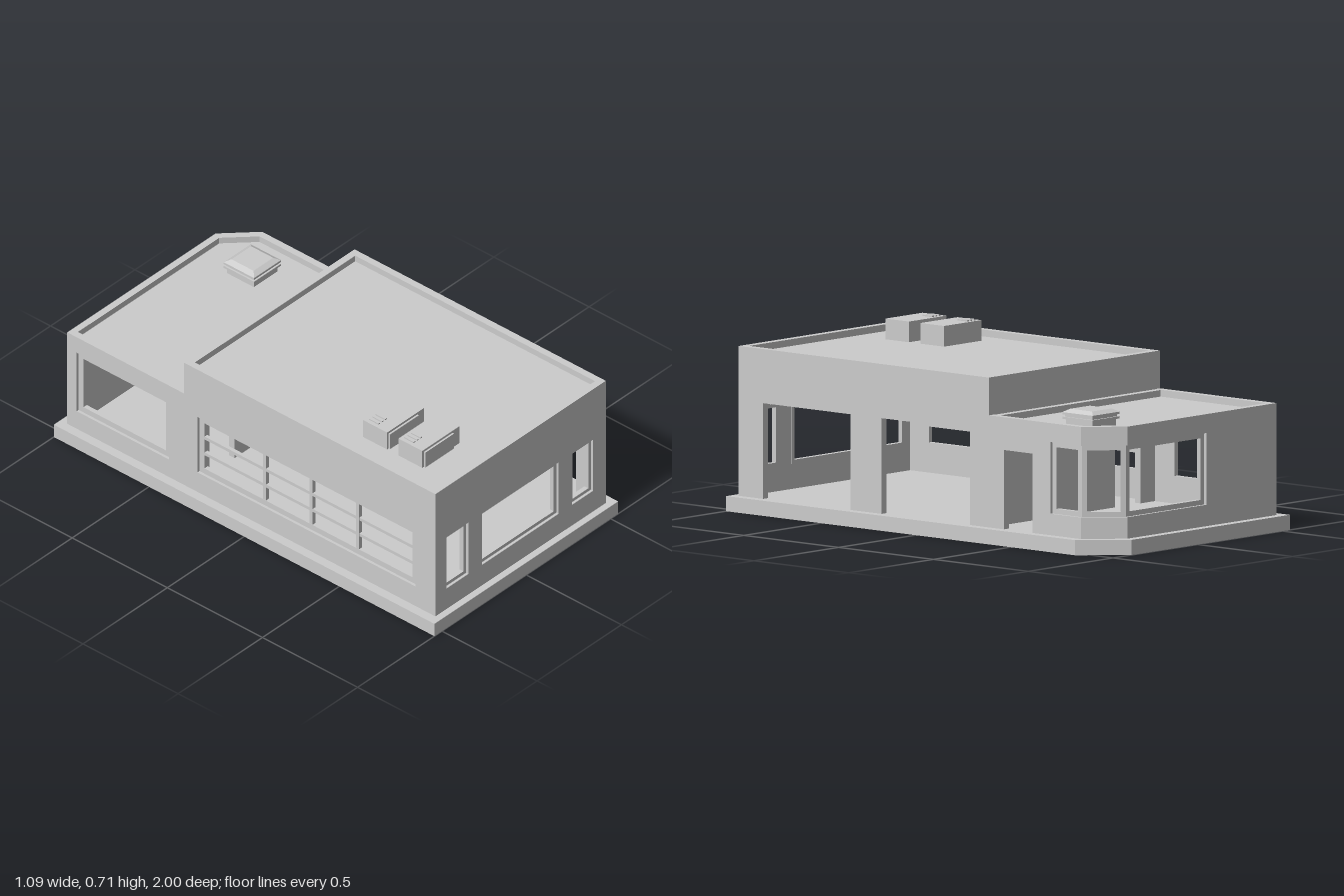
import * as THREE from 'three';

const T = 0.03; // wall thickness
const material = new THREE.MeshStandardMaterial({ color: 0xcccccc, flatShading: true });

const rect = (u0, u1, v0, v1) => [[u0, v0], [u1, v0], [u1, v1], [u0, v1]];
const toVectors = (pts) => pts.map(([x, y]) => new THREE.Vector2(x, y));

function extrude(outline, holes, depth) {
  const shape = new THREE.Shape(toVectors(outline));
  holes.forEach((h) => shape.holes.push(new THREE.Path(toVectors(h))));
  return new THREE.ExtrudeGeometry(shape, { depth, bevelEnabled: false });
}

function add(parent, name, geometry, x = 0, y = 0, z = 0) {
  const mesh = new THREE.Mesh(geometry, material);
  mesh.name = name;
  mesh.position.set(x, y, z);
  parent.add(mesh);
  return mesh;
}

function box(parent, name, x0, x1, y0, y1, z0, z1) {
  return add(parent, name, new THREE.BoxGeometry(x1 - x0, y1 - y0, z1 - z0),
    (x0 + x1) / 2, (y0 + y1) / 2, (z0 + z1) / 2);
}

// Horizontal slab from a plan outline of [x, z] points
function slab(parent, name, plan, y0, y1) {
  const geometry = extrude(plan.map(([x, z]) => [x, -z]), [], y1 - y0);
  geometry.rotateX(-Math.PI / 2);
  return add(parent, name, geometry, 0, y0, 0);
}

// Upright side from plan point a to b: local x runs along it, local +z faces outdoors
function side(parent, name, [ax, az], [bx, bz]) {
  const group = new THREE.Group();
  group.name = name;
  group.position.set(ax, 0, az);
  group.rotation.y = Math.atan2(az - bz, bx - ax);
  parent.add(group);
  return group;
}

const panel = (group, name, outline, holes = []) =>
  add(group, name, extrude(outline, holes, T), 0, 0, -T);

// Recessed window frame
function frame(group, u0, u1, v0, v1, bar = 0.02) {
  const hole = rect(u0 + bar, u1 - bar, v0 + bar, v1 - bar);
  add(group, 'windowFrame', extrude(rect(u0, u1, v0, v1), [hole], 0.02), 0, 0, -0.032);
}

export function createModel() {
  const model = new THREE.Group();
  model.name = 'garageBuilding';

  // Foundation with one cut corner
  slab(model, 'foundation',
    [[-0.545, 1], [0.545, 1], [0.545, -0.84], [0.39, -1], [-0.545, -1]], 0, 0.06);

  // Plan corners of the walls
  const frontLeft = [0.505, 0.97], frontRight = [-0.505, 0.97];
  const cutSide = [0.505, -0.835], cutBack = [0.375, -0.965], backRight = [-0.505, -0.965];

  // Front wall with three windows
  const front = side(model, 'frontWall', frontRight, frontLeft);
  const frontWindows = [[0.065, 0.195], [0.275, 0.73], [0.81, 0.935]];
  panel(front, 'frontPanel', rect(0, 1.01, 0.03, 0.655),
    frontWindows.map(([a, b]) => rect(a, b, 0.16, 0.41)));
  frontWindows.forEach(([a, b]) => frame(front, a, b, 0.16, 0.41, 0.015));

  // Garage side: two vehicle bays, a door and the start of the corner window
  const bays = side(model, 'garageSideWall', frontLeft, cutSide);
  panel(bays, 'garageSidePanel', [
    [0, 0.03], [1.805, 0.03], [1.805, 0.145], [1.645, 0.145], [1.645, 0.43], [1.805, 0.43],
    [1.805, 0.505], [1.32, 0.505], [1.32, 0.655], [0, 0.655],
  ], [rect(0.13, 0.59, 0.05, 0.44), rect(0.755, 1.22, 0.05, 0.44), rect(1.4, 1.55, 0.05, 0.375)]);
  frame(bays, 1.645, 1.8, 0.145, 0.43);

  // Cut corner
  const corner = side(model, 'cornerWall', cutSide, cutBack);
  const cornerLength = 0.13 * Math.SQRT2;
  panel(corner, 'cornerSill', rect(0, cornerLength, 0.03, 0.145));
  panel(corner, 'cornerHeader', rect(0, cornerLength, 0.43, 0.505));
  frame(corner, 0.005, cornerLength - 0.005, 0.145, 0.43);

  // Back wall, the corner window continues round
  const back = side(model, 'backWall', cutBack, backRight);
  panel(back, 'backPanel', [
    [0, 0.03], [0.88, 0.03], [0.88, 0.505], [0, 0.505],
    [0, 0.43], [0.465, 0.43], [0.465, 0.145], [0, 0.145],
  ]);
  frame(back, 0.005, 0.465, 0.145, 0.43);

  // Window side: office window and long barred window
  const glazed = side(model, 'windowSideWall', backRight, frontRight);
  panel(glazed, 'windowSidePanel', [
    [0, 0.03], [1.935, 0.03], [1.935, 0.655], [0.615, 0.655], [0.615, 0.505], [0, 0.505],
  ], [rect(0.05, 0.535, 0.145, 0.43), rect(0.685, 1.83, 0.155, 0.425)]);
  frame(glazed, 0.05, 0.535, 0.145, 0.43, 0.025);
  frame(glazed, 0.685, 1.83, 0.155, 0.425, 0.025);
  [0.25, 0.327].forEach((y) => box(glazed, 'windowRail', 0.7, 1.815, y - 0.007, y + 0.007, -0.03, -0.014));
  [0.06, 0.305, 0.55].forEach((z) =>
    box(glazed, 'windowMullion', z + 0.957, z + 0.973, 0.17, 0.41, -0.031, -0.013));

  // Wall between the tall garage and the low office, with a doorway
  const divider = side(model, 'dividingWall', [0.49, -0.35], [-0.49, -0.35]);
  panel(divider, 'dividingPanel', rect(0, 0.98, 0.03, 0.655), [rect(0.73, 0.88, 0.05, 0.37)]);

  // Roofs sunk behind the parapets
  box(model, 'garageRoof', -0.49, 0.49, 0.6, 0.628, -0.34, 0.955);
  slab(model, 'officeRoof',
    [[-0.49, -0.34], [0.49, -0.34], [0.49, -0.83], [0.37, -0.95], [-0.49, -0.95]], 0.45, 0.478);
  box(model, 'officeRoofCurb', -0.49, 0.49, 0.46, 0.504, -0.38, -0.345);

  // Rooftop air units
  [[0.48, 0.605], [0.665, 0.79]].forEach(([z0, z1]) => {
    const unit = new THREE.Group();
    unit.name = 'airUnit';
    model.add(unit);
    box(unit, 'airUnitCase', -0.38, -0.16, 0.62, 0.71, z0, z1);
    box(unit, 'airUnitFront', -0.37, -0.2, 0.625, 0.7, z1 - 0.01, z1 + 0.008);
    for (let i = 0; i < 3; i++) {
      const x = -0.358 + i * 0.02;
      box(unit, 'airUnitVent', x - 0.005, x + 0.005, 0.705, 0.715, z0 + 0.015, z0 + 0.065);
    }
  });

  // Skylight of stacked square tiers: [bottom half-width, top half-width, y0, y1]
  const skylight = new THREE.Group();
  skylight.name = 'skylight';
  skylight.position.set(0.305, 0, -0.71);
  model.add(skylight);
  [[0.07, 0.07, 0.47, 0.505], [0.08, 0.08, 0.505, 0.514], [0.072, 0.072, 0.514, 0.523],
    [0.08, 0.08, 0.523, 0.532], [0.08, 0.058, 0.532, 0.545]].forEach(([a, b, y0, y1]) => {
    const tier = new THREE.CylinderGeometry(b * Math.SQRT2, a * Math.SQRT2, y1 - y0, 4);
    tier.rotateY(Math.PI / 4);
    add(skylight, 'skylightTier', tier, 0, (y0 + y1) / 2, 0);
  });

  return model;
}
